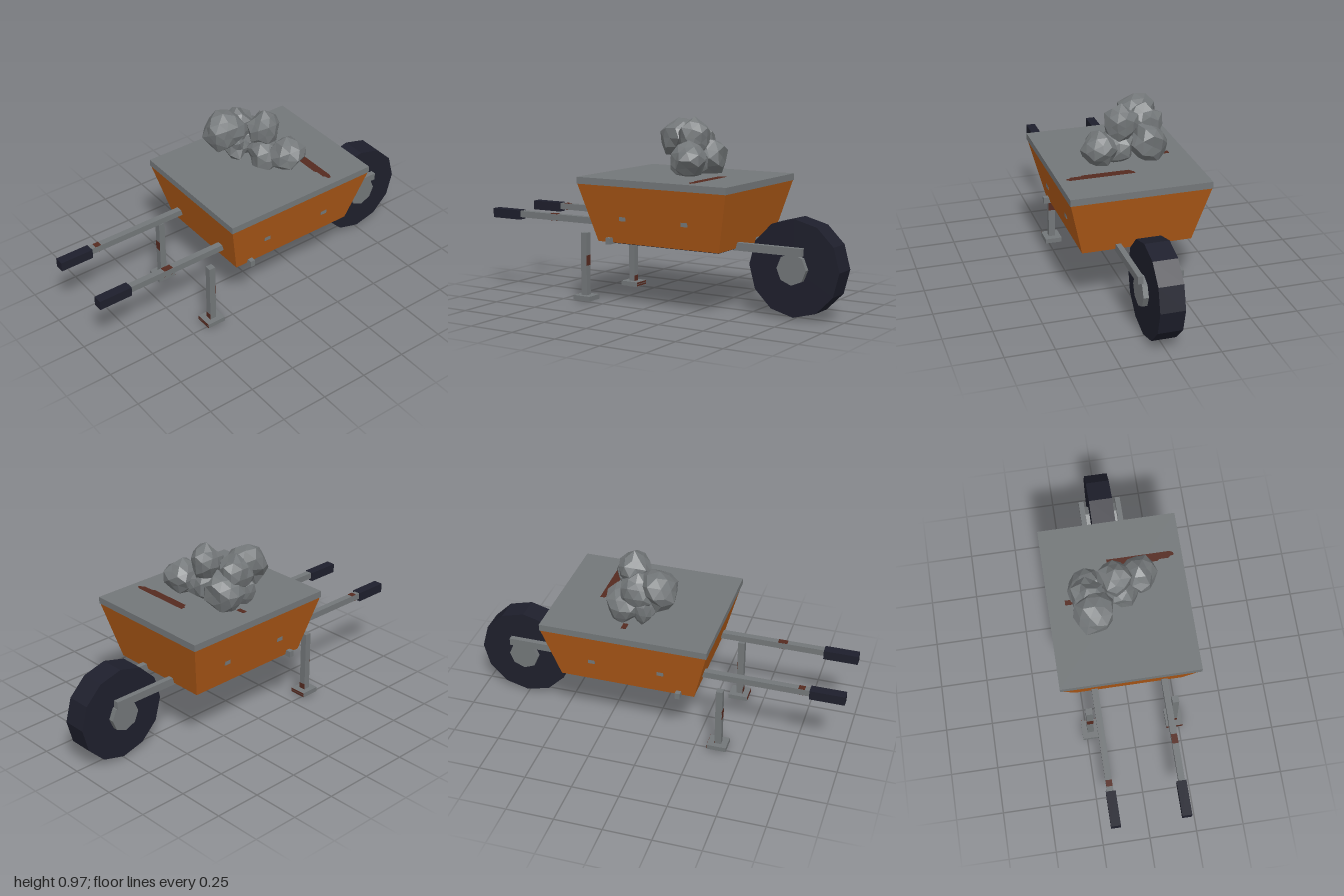
import * as THREE from 'three';

const mat = (name, color, extra = {}) => {
  const m = new THREE.MeshStandardMaterial({ color, ...extra });
  m.name = name;
  return m;
};

// Irregular faceted lump: a subdivided icosahedron pushed in and out by a position hash
function rockGeometry(rx, ry, rz, seed) {
  const g = new THREE.IcosahedronGeometry(1, 1);
  const p = g.attributes.position;
  const v = new THREE.Vector3();
  for (let i = 0; i < p.count; i++) {
    v.fromBufferAttribute(p, i);
    const h = Math.sin(Math.round(v.x * 50) * 12.99 + Math.round(v.y * 50) * 78.23
      + Math.round(v.z * 50) * 37.72 + seed * 4.1) * 437.58;
    v.multiplyScalar(0.76 + 0.34 * (h - Math.floor(h)));
    p.setXYZ(i, v.x * rx, v.y * ry, v.z * rz);
  }
  g.computeVertexNormals();
  return g;
}

export function createModel() {
  const model = new THREE.Group();
  model.name = 'wheelbarrow';
  const orange = mat('orange paint', 0xb45c18);
  const metal = mat('grey metal', 0x737779);
  const dark = mat('dark rubber', 0x1e1f2c);
  const rust = mat('rust', 0x552a20);
  const stone = mat('stone', 0x737779, { flatShading: true });

  const add = (name, geo, material, x = 0, y = 0, z = 0) => {
    const m = new THREE.Mesh(geo, material);
    m.name = name;
    m.position.set(x, y, z);
    model.add(m);
    return m;
  };
  // Box given by its lower and upper corners
  const box = (name, material, [x0, y0, z0], [x1, y1, z1]) =>
    add(name, new THREE.BoxGeometry(x1 - x0, y1 - y0, z1 - z0), material,
      (x0 + x1) / 2, (y0 + y1) / 2, (z0 + z1) / 2);

  // Tapered tray
  const tray = new THREE.BoxGeometry(0.716, 0.3, 0.864);
  const p = tray.attributes.position;
  for (let i = 0; i < p.count; i++) {
    if (p.getY(i) < 0) {
      p.setX(i, Math.sign(p.getX(i)) * 0.283);
      p.setZ(i, Math.sign(p.getZ(i)) * 0.355);
    }
  }
  tray.computeVertexNormals();
  add('tray', tray, orange, 0, 0.486, -0.105);
  box('trayTop', metal, [-0.361, 0.635, -0.54], [0.361, 0.67, 0.33]);
  box('trayFloor', dark, [-0.264, 0.332, -0.452], [0.272, 0.34, 0.215]);
  box('crossBar', metal, [-0.317, 0.329, 0.158], [0.317, 0.362, 0.184]);

  // Wheel and hub
  const disc = (name, r, width, sides, material) => {
    const g = new THREE.CylinderGeometry(r, r, width, sides).toNonIndexed();
    g.computeVertexNormals();
    add(name, g, material, 0, 0.255, -0.755).rotation.z = Math.PI / 2;
  };
  disc('wheel', 0.245, 0.126, 12, dark);
  disc('hub', 0.08, 0.18, 8, metal);

  // Mirrored frame parts
  for (const s of [1, -1]) {
    const side = s > 0 ? 'left' : 'right';
    const pair = (name, material, cx, w, y0, y1, z0, z1) =>
      box(side + name, material, [s * cx - w / 2, y0, z0], [s * cx + w / 2, y1, z1]);
    pair('Fork', metal, 0.1, 0.028, 0.326, 0.366, -0.82, -0.295);
    pair('Handle', metal, 0.182, 0.033, 0.404, 0.438, 0.2, 0.83);
    pair('Grip', dark, 0.18, 0.05, 0.391, 0.441, 0.82, 1);
    pair('Leg', metal, 0.227, 0.035, 0, 0.362, 0.353, 0.388);
    pair('Foot', metal, 0.227, 0.09, 0.008, 0.033, 0.318, 0.42);
    for (const z of [0.08, -0.283])
      pair('Bolt', metal, 0.3, 0.036, 0.455, 0.479, z - 0.018, z + 0.018);

    // Rust plates: the legs are the same piece turned half round
    const plate = (name, w, y0, y1, z) => pair(name, rust, 0.227, w, y0, y1, z - 0.001, z + 0.001);
    const front = 0.388, back = 0.353;
    plate('LegRust', 0.035, 0.19, 0.244, s > 0 ? back : front);
    plate('LowerLegRust', 0.035, 0.033, 0.064, s > 0 ? front : back);
    for (const y of [0.011, 0.023])
      plate('FootRust', 0.09, y, y + 0.009, s > 0 ? 0.42 : 0.318);

    // Rust on the upper and lower faces of the handles
    const [z0, z1] = s > 0 ? [0.575, 0.625] : [0.762, 0.795];
    for (const y of [0.404, 0.438])
      pair('HandleRust', rust, 0.182, 0.032, y - 0.001, y + 0.001, z0, z1);
  }

  // Ragged rust streak and a small patch on the tray top
  const streak = new THREE.Shape([[-0.03, 0.33], [0.3, 0.33], [0.318, 0.32], [0.318, 0.306], [0.3, 0.303],
    [0.29, 0.293], [0.24, 0.293], [0.23, 0.284], [-0.01, 0.284], [-0.02, 0.3], [-0.03, 0.306]]
    .map(([x, y]) => new THREE.Vector2(x, y)));
  add('topRust', new THREE.ShapeGeometry(streak), rust, 0, 0.6715, 0).rotation.x = -Math.PI / 2;
  box('smallTopRust', rust, [-0.272, 0.668, -0.138], [-0.225, 0.6715, -0.112]);

  // Heap of rocks: centre, radii
  [
    [0.115, 0.765, -0.19, 0.095, 0.092, 0.1],
    [-0.015, 0.865, -0.145, 0.092, 0.098, 0.092],
    [-0.135, 0.85, 0.025, 0.108, 0.108, 0.108],
    [-0.155, 0.755, -0.15, 0.105, 0.11, 0.105],
    [0.01, 0.735, -0.13, 0.095, 0.1, 0.095],
    [-0.16, 0.83, -0.08, 0.09, 0.105, 0.095],
    [-0.15, 0.74, -0.05, 0.105, 0.09, 0.07],
  ].forEach(([x, y, z, rx, ry, rz], i) =>
    add('rock' + (i + 1), rockGeometry(rx, ry, rz, i + 1), stone, x, y, z));

  return model;
}
